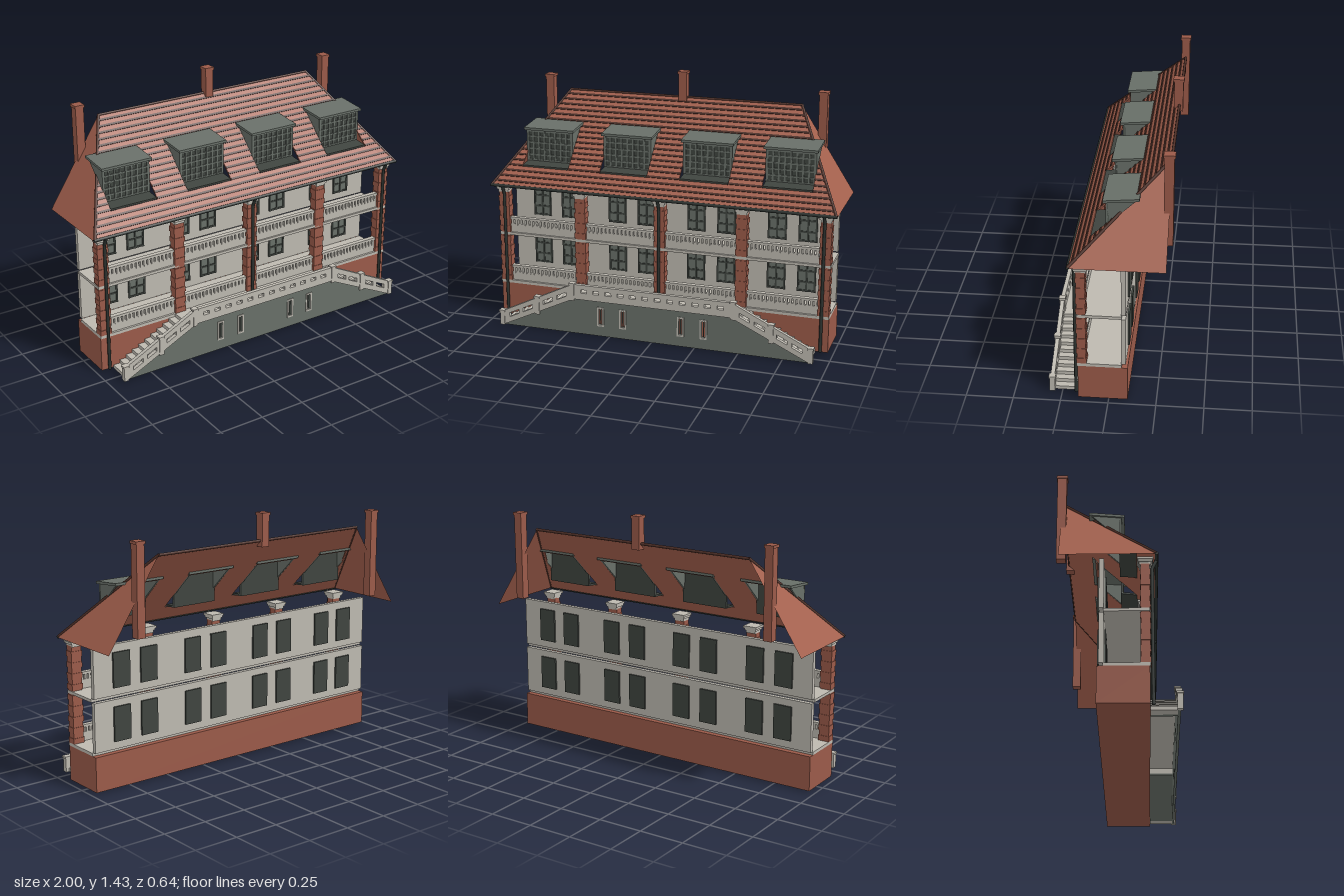
import * as THREE from 'three';
import { mergeGeometries } from 'three/addons/utils/BufferGeometryUtils.js';

const mat = (name, color) => {
  const m = new THREE.MeshStandardMaterial({ color, side: THREE.DoubleSide });
  m.name = name;
  return m;
};

export function createModel() {
  const root = new THREE.Group();
  root.name = 'house';
  const brick = mat('brick', 0x9a5a49), tile = mat('roof tile', 0xa5614e);
  const seam = mat('tile seam', 0x4d2f27), cream = mat('cream stone', 0xbdb9b0);
  const grey = mat('grey render', 0x686f68), dark = mat('dark frame', 0x3f443f);
  const iron = mat('iron', 0x2c322f);

  const add = (name, geo, m, parent = root) => {
    const mesh = new THREE.Mesh(geo, m);
    mesh.name = name;
    parent.add(mesh);
    return mesh;
  };
  // Box given by its limits on each axis
  const box = (x0, x1, y0, y1, z0, z1) =>
    new THREE.BoxGeometry(x1 - x0, y1 - y0, z1 - z0).translate((x0 + x1) / 2, (y0 + y1) / 2, (z0 + z1) / 2);
  const shapeOf = (pts, holes = []) => {
    const s = new THREE.Shape(pts.map(p => new THREE.Vector2(...p)));
    holes.forEach(h => s.holes.push(new THREE.Path(h.map(p => new THREE.Vector2(...p)))));
    return s;
  };
  const extrude = (pts, z0, z1, holes) =>
    new THREE.ExtrudeGeometry(shapeOf(pts, holes), { depth: z1 - z0, bevelEnabled: false }).translate(0, 0, z0);
  // Side profile of [z, y] points drawn out along x
  const along = (pts, x0, x1) => extrude(pts, 0, x1 - x0).rotateY(-Math.PI / 2).translate(x1, 0, 0);
  const rect = (x0, x1, y0, y1) => [[x0, y0], [x1, y0], [x1, y1], [x0, y1]];
  const rod = (a, b, r) => {
    const A = new THREE.Vector3(...a), B = new THREE.Vector3(...b), d = B.clone().sub(A);
    const q = new THREE.Quaternion().setFromUnitVectors(new THREE.Vector3(0, 1, 0), d.clone().normalize());
    const c = A.add(B).multiplyScalar(0.5);
    return new THREE.CylinderGeometry(r, r, d.length(), 8).applyQuaternion(q).translate(c.x, c.y, c.z);
  };

  // Plinth, floors and rear walls
  add('plinth', box(-0.97, 0.97, 0.008, 0.203, -0.1, 0.16), brick);
  add('lowerFloor', box(-0.97, 0.97, 0.203, 0.22, -0.068, 0.165), cream);
  add('upperFloor', box(-0.97, 0.97, 0.498, 0.514, -0.068, 0.163), cream);
  add('lowerWall', box(-0.965, 0.965, 0.222, 0.495, -0.09, -0.065), cream);
  add('upperWall', box(-0.965, 0.965, 0.518, 0.795, -0.09, -0.065), cream);

  // Windows, with a shutter panel on the back of the wall
  const panes = [], frames = [], backs = [];
  for (const y of [0.265, 0.56]) for (const cx of [0.15, 0.327, 0.62, 0.795]) for (const s of [-1, 1]) {
    const x = cx * s, w = 0.053, t = y + 0.192;
    panes.push(box(x - w, x + w, y, t, -0.066, -0.061));
    backs.push(box(x - w, x + w, y, t, -0.1, -0.089));
    for (const dx of [-w + 0.005, 0, w - 0.005]) frames.push(box(x + dx - 0.005, x + dx + 0.005, y, t, -0.062, -0.056));
    for (const f of [0.03, 0.3, 0.64, 0.97])
      frames.push(box(x - w, x + w, y + 0.192 * f - 0.005, y + 0.192 * f + 0.005, -0.062, -0.057));
  }
  add('windowPanes', mergeGeometries(panes), grey);
  add('windowFrames', mergeGeometries(frames), dark);
  add('rearWindows', mergeGeometries(backs), dark);

  // Brick pillars in alternating courses, with stepped capitals
  const courses = [], capitals = [];
  for (const x of [-0.937, -0.472, 0, 0.472, 0.937]) {
    const n = 18, h = (0.762 - 0.22) / n;
    for (let i = 0; i < n; i++) {
      const k = i % 2 ? 0.003 : 0;
      courses.push(box(x - 0.033 + k, x + 0.033 - k, 0.22 + i * h, 0.22 + (i + 1) * h, 0.114 + k, 0.166 - k));
    }
    [[0.03, 0.757, 0.772], [0.036, 0.772, 0.784], [0.041, 0.784, 0.797]].forEach(([w, a, b]) =>
      capitals.push(box(x - w, x + w, a, b, 0.14 - w, 0.14 + w)));
  }
  add('pillars', mergeGeometries(courses), brick);
  add('capitals', mergeGeometries(capitals), cream);

  // Gallery balustrades between the pillars
  const rails = [];
  for (const y of [0.22, 0.514]) for (const [a, b] of [[0.033, 0.439], [0.505, 0.905]]) for (const s of [-1, 1]) {
    const x0 = s > 0 ? a : -b, x1 = s > 0 ? b : -a, n = 17;
    rails.push(box(x0, x1, y, y + 0.05, 0.135, 0.152), box(x0, x1, y + 0.078, y + 0.092, 0.13, 0.158));
    for (let i = 0; i < n; i++) {
      const x = x0 + (i + 0.5) * (x1 - x0) / n;
      rails.push(box(x - 0.007, x + 0.007, y + 0.042, y + 0.08, 0.136, 0.156));
    }
  }
  add('balustrades', mergeGeometries(rails), cream);

  // Front roof slope: shape drawn on the slope plane, t runs from eaves 0 to ridge 1
  const L = Math.hypot(0.48, 0.5), edge = t => 1 - 0.31 * t;
  const slope = new THREE.Group();
  slope.name = 'frontRoof';
  slope.rotation.x = -Math.atan2(0.5, 0.48);
  slope.position.set(0, 0.8, 0.2);
  root.add(slope);
  const dormerX = [-0.705, -0.235, 0.235, 0.705], hw = 0.14, h0 = 0.2, h1 = 0.64;
  const clip = (x, t) => Math.sign(x) * Math.min(Math.abs(x), edge(t) - 0.02);
  const holes = dormerX.map(c => [[c - hw, h0], [c + hw, h0], [c + hw, 0.46], [c + hw, h1], [c - hw, h1], [c - hw, 0.46]]
    .map(([x, t]) => [clip(x, t), t * L]));
  add('roofSheet', extrude([[-1, 0], [1, 0], [0.69, L], [-0.69, L]], -0.004, 0.004, holes), tile, slope);
  const seams = [], rows = 19;
  for (let i = 1; i < rows; i++) {
    const t = i / rows, e = edge(t), cuts = [-e];
    if (t > h0 && t < h1) dormerX.forEach(c => cuts.push(c - hw, c + hw));
    cuts.push(e);
    for (let j = 0; j < cuts.length; j += 2)
      if (cuts[j + 1] - cuts[j] > 0.005) seams.push(box(cuts[j], cuts[j + 1], t * L - 0.006, t * L + 0.006, 0.002, 0.008));
  }
  add('tileSeams', mergeGeometries(seams), seam, slope);

  // Hipped ends, hip and ridge caps
  for (const s of [-1, 1]) {
    const g = new THREE.BufferGeometry();
    const a = [s, 0.8, 0.2], b = [s, 0.8, -0.293], c = [s * 0.69, 1.28, -0.298];
    g.setAttribute('position', new THREE.Float32BufferAttribute(s > 0 ? [...a, ...b, ...c] : [...a, ...c, ...b], 3));
    g.computeVertexNormals();
    add('hipEnd', g, tile);
    add('hipCap', rod([s * 0.995, 0.805, 0.198], c, 0.008), seam);
  }
  add('ridgeCap', rod([-0.69, 1.278, -0.296], [0.69, 1.278, -0.296], 0.008), seam);

  // Dormers set into the slope
  for (const x of dormerX) {
    const d = new THREE.Group();
    d.name = 'dormer';
    d.position.x = x;
    root.add(d);
    for (const s of [-1, 1])
      add('dormerCheek', along([[0.02, 0.97], [0.02, 1.103], [-0.14, 1.12]], s * 0.135 - 0.005, s * 0.135 + 0.005), grey, d);
    add('dormerRoof', along([[0.036, 1.098], [0.036, 1.112], [-0.148, 1.128], [-0.148, 1.114]], -0.15, 0.15), grey, d);
    add('dormerGlass', box(-hw, hw, 0.905, 1.1, 0.008, 0.015), dark, d);
    add('dormerApron', along([[0.01, 0.905], [0.01, 0.917], [0.098, 0.907], [0.098, 0.897]], -0.137, 0.137), dark, d);
    const bars = [];
    for (let i = 0; i <= 8; i++) {
      const bx = -0.134 + i * 0.0335, w = i % 8 ? 0.0045 : 0.007;
      bars.push(box(bx - w, bx + w, 0.905, 1.1, 0.014, 0.021));
    }
    for (let i = 0; i <= 5; i++) {
      const by = 0.915 + i * 0.036, w = i % 5 ? 0.004 : 0.009;
      bars.push(box(-hw, hw, by - w, by + w, 0.014, 0.02));
    }
    add('dormerBars', mergeGeometries(bars), grey, d);
  }

  // Chimneys
  for (const [x, y0, y1] of [[-0.815, 0.865, 1.365], [0, 1.245, 1.43], [0.815, 0.865, 1.365]]) {
    add('chimney', box(x - 0.024, x + 0.024, y0, y1 - 0.015, -0.316, -0.267), brick);
    add('chimneyCap', box(x - 0.028, x + 0.028, y1 - 0.015, y1, -0.321, -0.262), brick);
  }

  // Gutter and downpipes
  add('gutter', rod([-1, 0.803, 0.198], [1, 0.803, 0.198], 0.009), iron);
  for (const [x, y] of [[-0.93, 0.015], [0, 0.22], [0.93, 0.015]]) {
    add('downpipe', rod([x, y, 0.175], [x, 0.755, 0.175], 0.009), iron);
    add('pipeElbow', rod([x, 0.752, 0.175], [x, 0.8, 0.197], 0.009), iron);
  }

  // Terrace: grey front wall with slit windows, and the floor behind it
  const slits = [-0.302, -0.17, 0.17, 0.302];
  add('terraceWall', extrude([[-0.9, 0], [0.9, 0], [0.47, 0.21], [-0.47, 0.21]], 0.292, 0.306,
    slits.map(x => rect(x - 0.011, x + 0.011, 0.07, 0.165))), grey);
  for (const x of slits) {
    add('slitFrame', extrude(rect(x - 0.02, x + 0.02, 0.06, 0.175), 0.302, 0.31,
      [rect(x - 0.011, x + 0.011, 0.07, 0.165)]), cream);
    add('slitBar', box(x - 0.003, x + 0.003, 0.07, 0.165, 0.298, 0.304), grey);
  }
  add('terraceFloor', box(-0.47, 0.47, 0.2, 0.22, 0.16, 0.294), cream);
  const gaps = [];
  for (let i = 0; i < 12; i++) {
    const x = (i - 5.5) * 0.0725;
    gaps.push(rect(x - 0.018, x + 0.018, 0.25, 0.27));
  }
  add('terraceParapet', extrude(rect(-0.47, 0.47, 0.21, 0.298), 0.292, 0.314, gaps), cream);

  // Stairs, sloping parapets and posts on both sides
  const low = x => 0.205 - (x - 0.47) * 0.475;
  for (const s of [-1, 1]) {
    const steps = [[s * 0.47, 0.17], [s * 0.47, 0.22]], n = 11;
    for (let i = 0; i < n; i++) {
      const y = 0.22 * (1 - i / n), x = s * (0.47 + 0.43 * (i + 1) / n);
      steps.push([x, y], [x, y - 0.22 / n]);
    }
    steps.push([s * 0.84, 0]);
    add('stairs', extrude(steps, 0.16, 0.294), cream);
    add('stairSoffit', extrude([[s * 0.47, 0.16], [s * 0.47, 0.17], [s * 0.84, 0], [s * 0.82, 0]], 0.16, 0.294), grey);
    const slots = [0.535, 0.62, 0.745, 0.83].map(c => [[c - 0.03, 0.032], [c + 0.03, 0.032], [c + 0.03, 0.056], [c - 0.03, 0.056]]
      .map(([x, dy]) => [s * x, low(x) + dy]));
    add('stairParapet', extrude([[s * 0.47, 0.205], [s * 0.9, 0], [s * 0.9, 0.085], [s * 0.47, 0.295]], 0.292, 0.314, slots), cream);
    for (const [x, y0, y1] of [[0.47, 0.2, 0.305], [0.685, 0.09, 0.2], [0.905, 0, 0.09]]) {
      add('post', box(s * x - 0.013, s * x + 0.013, y0, y1 - 0.008, 0.289, 0.318), cream);
      add('postCap', box(s * x - 0.017, s * x + 0.017, y1 - 0.01, y1, 0.286, 0.322), cream);
    }
  }
  return root;
}
